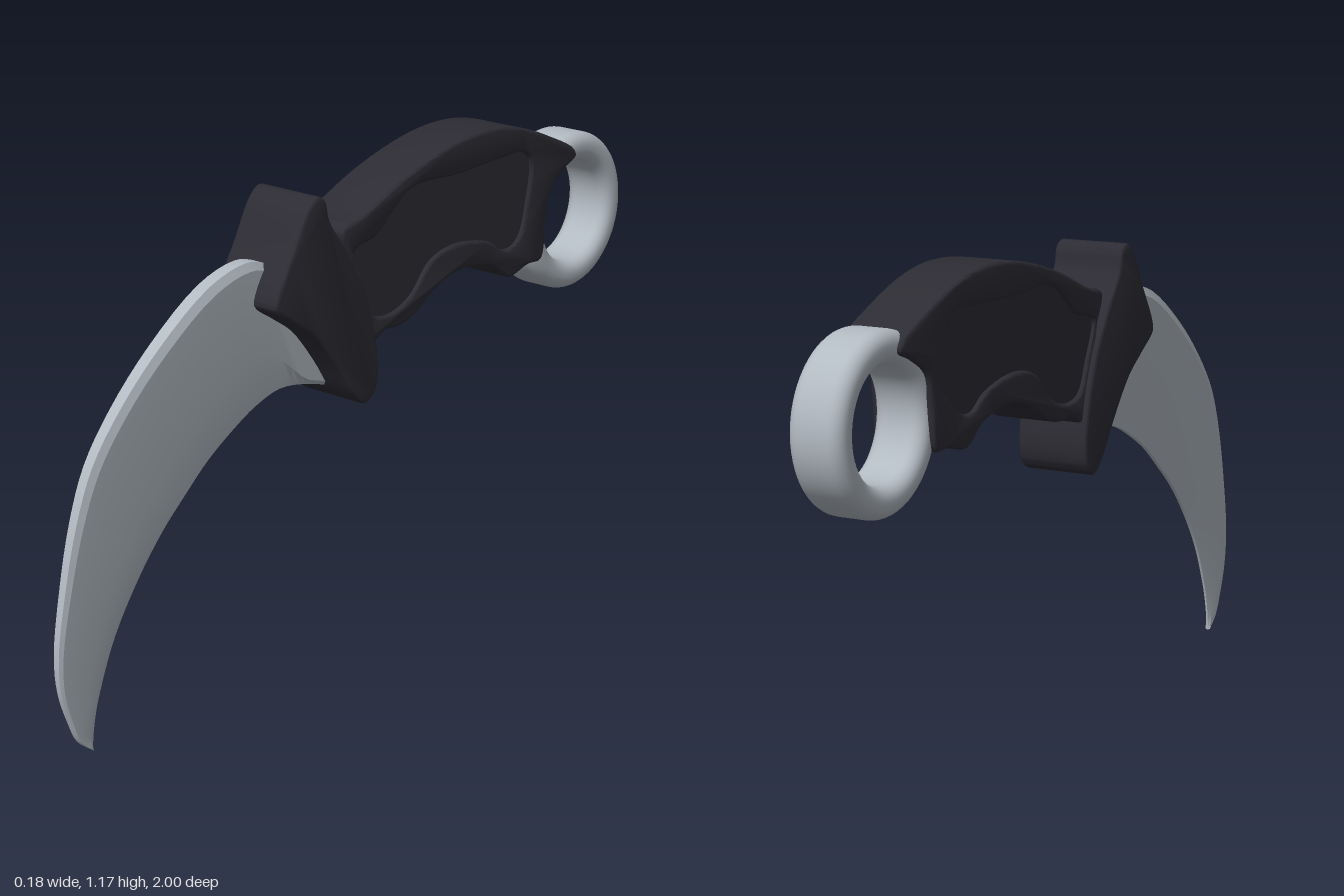
import * as THREE from 'three';
import { toCreasedNormals } from 'three/addons/utils/BufferGeometryUtils.js';

const steel = new THREE.MeshStandardMaterial({ color: 0xb2bac2 });
steel.name = 'steel';
const grip = new THREE.MeshStandardMaterial({ color: 0x2d2c34 });
grip.name = 'dark grip';

// Smooth curve through [z, y] points
const curve = (pts, closed) =>
  new THREE.CatmullRomCurve3(pts.map(([z, y]) => new THREE.Vector3(0, y, z)), closed, 'centripetal');

// Closed side outline as 2D points (x = model z, y = model y)
const outline = (pts, n) =>
  curve(pts, true).getPoints(n).slice(0, n).map((p) => new THREE.Vector2(p.z, p.y));

// Extrude a side outline symmetrically across x
function slab(points, half, bevel, hole) {
  const shape = new THREE.Shape(points);
  if (hole) shape.holes.push(new THREE.Path(hole));
  const geo = new THREE.ExtrudeGeometry(shape, {
    depth: 2 * (half - bevel), steps: 1, bevelEnabled: bevel > 0,
    bevelThickness: bevel, bevelSize: bevel, bevelOffset: -bevel, bevelSegments: 3,
  });
  geo.translate(0, 0, -(half - bevel));
  geo.rotateY(-Math.PI / 2);
  return toCreasedNormals(geo, 0.6);
}

// Curved blade lofted from spine to cutting edge
function bladeGeometry() {
  const spine = curve([[0.2, 0.93], [0.34, 1.0], [0.4, 1.012], [0.515, 0.985], [0.675, 0.885], [0.8, 0.775],
    [0.885, 0.67], [0.935, 0.555], [0.975, 0.405], [1, 0.26], [0.995, 0.17], [0.97, 0.09], [0.945, 0.035], [0.908, 0.003]]);
  const edge = curve([[0.1, 0.64], [0.18, 0.665], [0.275, 0.68], [0.36, 0.66], [0.435, 0.625], [0.52, 0.575],
    [0.595, 0.515], [0.67, 0.45], [0.75, 0.36], [0.825, 0.25], [0.87, 0.15], [0.89, 0.09], [0.9, 0.04], [0.904, 0]]);
  const n = 52, pos = [], index = [];
  for (let i = 0; i <= n; i++) {
    const s = spine.getPoint(i / n), e = edge.getPoint(i / n);
    const ground = 0.04 + 0.29 * THREE.MathUtils.smoothstep(i / n, 0.07, 0.18);
    // [fraction from edge to spine, relative half thickness]
    const half = [[1, 0.65], [0.94, 1], [ground, 0.9], [0, 0.3]];
    const ring = [...half, ...half.slice().reverse().map(([f, w]) => [f, -w])];
    for (const [f, w] of ring) {
      const p = e.clone().lerp(s, f);
      pos.push(w * (0.007 + 0.019 * p.y), p.y, p.z);
    }
  }
  for (let i = 0; i < n; i++) {
    for (let j = 0; j < 8; j++) {
      const k = (j + 1) % 8, a = i * 8 + j, b = i * 8 + k;
      index.push(a, a + 8, b, a + 8, b + 8, b);
    }
  }
  for (let k = 1; k < 7; k++) index.push(n * 8, n * 8 + k + 1, n * 8 + k); // tip
  const geo = new THREE.BufferGeometry();
  geo.setAttribute('position', new THREE.Float32BufferAttribute(pos, 3));
  geo.setIndex(index);
  return toCreasedNormals(geo, 0.3);
}

// Finger ring with a rounded rectangular section
function ringGeometry() {
  const inner = 0.13, outer = 0.203, half = 0.067, r = 0.032, pts = [];
  const corners = [[outer - r, half - r, 0], [inner + r, half - r, 1], [inner + r, r - half, 2], [outer - r, r - half, 3]];
  for (const [x, y, q] of corners) {
    for (let i = 0; i <= 6; i++) {
      const a = (q + i / 6) * Math.PI / 2;
      pts.push(new THREE.Vector2(x + r * Math.cos(a), y + r * Math.sin(a)));
    }
  }
  pts.push(pts[0].clone());
  const geo = new THREE.LatheGeometry(pts, 64);
  geo.rotateZ(Math.PI / 2);
  return geo;
}

export function createModel() {
  const model = new THREE.Group();
  model.name = 'curvedKnife';
  const add = (name, geo, mat) => {
    const mesh = new THREE.Mesh(geo, mat);
    mesh.name = name;
    model.add(mesh);
    return mesh;
  };

  add('blade', bladeGeometry(), steel);

  // Guard between blade and handle
  const guard = outline([[0.236, 1.142], [0.268, 1.12], [0.32, 1.03], [0.375, 0.935], [0.378, 0.908], [0.32, 0.865],
    [0.25, 0.815], [0.17, 0.72], [0.11, 0.635], [0.07, 0.605], [0.037, 0.622], [0.022, 0.67], [0.035, 0.77],
    [0.08, 0.9], [0.14, 1.0], [0.195, 1.08], [0.21, 1.13]], 85);
  add('guard', slab(guard, 0.092, 0.008), grip);

  // Handle with finger grooves and a shallow recess on both sides
  const body = outline([[0.135, 1.03], [0.12, 1.045], [0.07, 1.055], [-0.07, 1.11], [-0.18, 1.142], [-0.285, 1.163],
    [-0.377, 1.17], [-0.46, 1.165], [-0.55, 1.145], [-0.66, 1.103], [-0.765, 1.05], [-0.772, 1.03], [-0.72, 1.005],
    [-0.665, 0.965], [-0.65, 0.9], [-0.642, 0.81], [-0.63, 0.79], [-0.58, 0.79], [-0.5, 0.775], [-0.435, 0.818],
    [-0.365, 0.836], [-0.275, 0.838], [-0.2, 0.812], [-0.125, 0.77], [-0.07, 0.758], [-0.02, 0.76], [0.03, 0.738],
    [0.07, 0.76], [0.08, 0.9]], 145);
  const panel = outline([[0.095, 0.97], [0.08, 0.985], [0.01, 1.0], [-0.035, 1.035], [-0.1, 1.08], [-0.155, 1.09],
    [-0.285, 1.083], [-0.445, 1.087], [-0.555, 1.083], [-0.583, 1.05], [-0.57, 0.955], [-0.545, 0.875], [-0.515, 0.853],
    [-0.475, 0.852], [-0.42, 0.885], [-0.285, 0.91], [-0.19, 0.89], [-0.115, 0.82], [-0.035, 0.795], [0.025, 0.81],
    [0.06, 0.88]], 105);
  add('handle', slab(body, 0.078, 0.008, panel), grip);
  add('handlePanel', slab(panel, 0.068, 0), grip);

  add('fingerRing', ringGeometry(), steel).position.set(0, 0.877, -0.797);
  return model;
}
